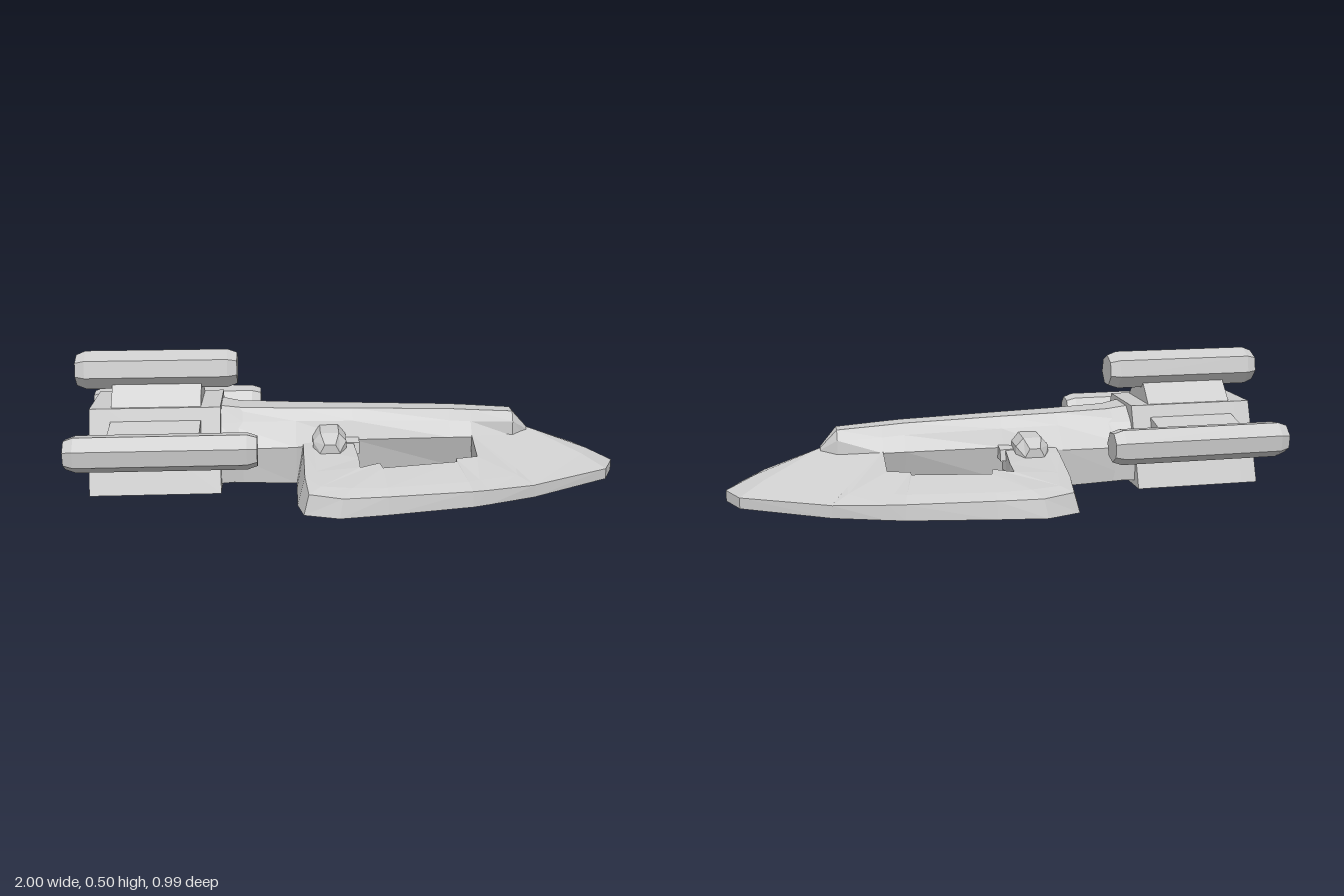
import * as THREE from 'three';

const material = new THREE.MeshStandardMaterial({ color: 0xcccccc, flatShading: true });

function addMesh(parent, name, geometry) {
  const mesh = new THREE.Mesh(geometry, material);
  mesh.name = name;
  parent.add(mesh);
  return mesh;
}

// Skin a list of equal-length rings of [x, y, z] into a closed solid facing outward.
function loft(rings) {
  const tris = [];
  const n = rings[0].length;
  for (let i = 0; i < rings.length - 1; i++) {
    for (let j = 0; j < n; j++) {
      const k = (j + 1) % n;
      const [a, b, c, d] = [rings[i][j], rings[i][k], rings[i + 1][k], rings[i + 1][j]];
      tris.push([a, b, c], [a, c, d]);
    }
  }
  const last = rings[rings.length - 1];
  for (let j = 1; j < n - 1; j++) {
    tris.push([rings[0][0], rings[0][j + 1], rings[0][j]], [last[0], last[j], last[j + 1]]);
  }
  let volume = 0;
  for (const [a, b, c] of tris) {
    volume += a[0] * (b[1] * c[2] - b[2] * c[1]) + a[1] * (b[2] * c[0] - b[0] * c[2]) + a[2] * (b[0] * c[1] - b[1] * c[0]);
  }
  if (volume < 0) tris.forEach(t => t.reverse());
  const geometry = new THREE.BufferGeometry();
  geometry.setAttribute('position', new THREE.Float32BufferAttribute(tris.flat(2), 3));
  geometry.computeVertexNormals();
  return geometry;
}

// Add a lofted part on the left and its mirror image on the right.
function addPair(parent, name, rings) {
  addMesh(parent, 'left' + name, loft(rings));
  addMesh(parent, 'right' + name, loft(rings.map(r => r.map(([x, y, z]) => [x, y, -z]))));
}

// A ring at x from a half profile of [z, y], mirrored about the centre plane.
function ring(x, half) {
  return [...half.map(([z, y]) => [x, y, z]), ...half.slice().reverse().map(([z, y]) => [x, y, -z])];
}

// Wing frame sections: rim x, rim z, rim bottom y, rim top y, inner x, inner z, inner top y, inner bottom y
const wingSections = [
  [-0.21, 0.06, 0.02, 0.19, 0.00, 0.06, 0.18, 0.08],
  [-0.21, 0.20, 0.02, 0.165, 0.00, 0.14, 0.165, 0.09],
  [-0.21, 0.36, 0.02, 0.12, 0.01, 0.25, 0.15, 0.09],
  [-0.19, 0.455, 0.02, 0.09, 0.01, 0.32, 0.14, 0.09],
  [-0.07, 0.495, 0.02, 0.085, 0.08, 0.29, 0.145, 0.09],
  [0.10, 0.465, 0.018, 0.08, 0.09, 0.32, 0.137, 0.09],
  [0.40, 0.39, 0.01, 0.065, 0.36, 0.25, 0.13, 0.085],
  [0.46, 0.365, 0.008, 0.06, 0.36, 0.23, 0.135, 0.085],
  [0.64, 0.28, 0.0, 0.045, 0.44, 0.21, 0.135, 0.08],
  [0.64, 0.28, 0.0, 0.045, 0.44, 0.085, 0.175, 0.08],
  [0.95, 0.105, 0.0, 0.04, 0.66, 0.0, 0.18, 0.04],
  [1.0, 0.0, 0.0, 0.04, 0.66, 0.0, 0.18, 0.04],
];

const wingRings = wingSections.map(([x, z, yb, yt, ix, iz, iyt, iyb]) => {
  const mix = THREE.MathUtils.lerp;
  // The upper rim leans inward, more so where the rim is tall.
  const lean = Math.min(0.12, (yt - 0.04) * 1.8);
  return [
    [x, yb, z],
    [mix(x, ix, lean), yt, mix(z, iz, lean)],
    [mix(x, ix, 0.3), mix(yt, iyt, 0.36), mix(z, iz, 0.3)],
    [ix, iyt, iz],
    [ix, iyb, iz],
  ];
});

// Seven-sided engine pod, bevelled at both ends, recessed at the back, one corner turned outward.
function addEngine(parent, name, y, z, frontX, radius, outwardDegrees) {
  const length = frontX + 1;
  const profile = [
    [0, 0.03], [radius * 0.7, 0.03], [radius * 0.8, 0], [radius, 0.035],
    [radius, length - 0.035], [radius * 0.82, length], [0, length],
  ].map(([r, h]) => new THREE.Vector2(r, h));
  const geometry = new THREE.LatheGeometry(profile, 7);
  geometry.rotateZ(-Math.PI / 2);
  const mesh = addMesh(parent, name, geometry);
  mesh.position.set(-1, y, z);
  mesh.rotation.x = THREE.MathUtils.degToRad(outwardDegrees - 90);
}

export function createModel() {
  const ship = new THREE.Group();
  ship.name = 'spaceship';

  // Arrow-shaped wing frame with a jagged opening on each side
  addPair(ship, 'Wing', wingRings);

  // Fuselage: x, top y, top half width, shoulder y and half width, side y and half width, bottom y and half width
  const fuselage = [
    [-0.49, 0.29, 0.05, 0.25, 0.10, 0.165, 0.17, 0.04, 0.165],
    [-0.21, 0.28, 0.045, 0.24, 0.08, 0.165, 0.16, 0.025, 0.15],
    [0.0, 0.275, 0.04, 0.235, 0.07, 0.17, 0.095, 0.04, 0.07],
    [0.36, 0.265, 0.035, 0.225, 0.055, 0.17, 0.09, 0.05, 0.05],
    [0.44, 0.26, 0.035, 0.22, 0.055, 0.17, 0.09, 0.05, 0.05],
    [0.60, 0.25, 0.03, 0.215, 0.05, 0.16, 0.055, 0.04, 0.03],
    [0.66, 0.183, 0.012, 0.175, 0.016, 0.14, 0.016, 0.05, 0.01],
  ].map(([x, ty, tw, sy, sw, my, mw, by, bw]) => ring(x, [[tw, ty], [sw, sy], [mw, my], [bw, by]]));
  addMesh(ship, 'fuselage', loft(fuselage));

  // Collar between the fuselage and the engine block
  addMesh(ship, 'collar', loft([
    ring(-0.49, [[0.06, 0.3], [0.12, 0.25], [0.185, 0.14], [0.18, 0.04]]),
    ring(-0.40, [[0.045, 0.285], [0.095, 0.245], [0.165, 0.165], [0.16, 0.04]]),
  ]));

  // Engine block with a framed recess at the back
  const block = [[0.12, 0.31], [0.228, 0.02]];
  const opening = [[0.07, 0.235], [0.12, 0.075]];
  const outline = half => ring(0, half).map(([, y, z]) => new THREE.Vector2(-z, y));
  const frameShape = new THREE.Shape(outline(block));
  frameShape.holes.push(new THREE.Path(outline(opening)));
  const frame = new THREE.ExtrudeGeometry(frameShape, { depth: 0.06, bevelEnabled: false });
  frame.rotateY(Math.PI / 2);
  addMesh(ship, 'rearFrame', frame).position.x = -0.945;
  addMesh(ship, 'engineBlock', loft([ring(-0.885, block), ring(-0.48, block)]));
  addMesh(ship, 'rearNozzle', loft([
    ring(-0.98, [[0.06, 0.14], [0.075, 0.085]]),
    ring(-0.87, [[0.06, 0.18], [0.08, 0.085]]),
  ]));

  // Pylons carrying the engine pods
  addMesh(ship, 'topPylon', loft([-0.87, -0.55].map(x => ring(x, [[0.04, 0.385], [0.118, 0.3]]))));
  addPair(ship, 'Pylon', [-0.87, -0.55].map(x => [
    [x, 0.27, 0.12], [x, 0.235, 0.275], [x, 0.175, 0.275], [x, 0.14, 0.17],
  ]));

  // Engine pods, spaced evenly around the block
  addEngine(ship, 'topEngine', 0.425, 0, -0.42, 0.071, 0);
  addEngine(ship, 'leftEngine', 0.208, 0.315, -0.345, 0.066, 120);
  addEngine(ship, 'rightEngine', 0.208, -0.315, -0.345, 0.066, -120);

  // Small bevelled blisters on the wing roots
  addPair(ship, 'Blister', [[0.06, 0.06, 0.225], [0.17, 0.06, 0.22], [0.215, 0.035, 0.19]].map(([z, w, top]) => [
    [-0.09 - w, 0.13, z], [-0.09 - w, top - 0.03, z], [-0.09 - w * 0.55, top, z],
    [-0.09 + w * 0.55, top, z], [-0.09 + w, top - 0.03, z], [-0.09 + w, 0.13, z],
  ]));

  // Low ledges where the blisters meet the wing
  addPair(ship, 'Ledge', [[-0.2, 0.19], [0.02, 0.185]].map(([x, top]) => [
    [x, 0.13, 0.06], [x, top, 0.06], [x, top - 0.015, 0.13], [x, 0.13, 0.14],
  ]));

  return ship;
}
